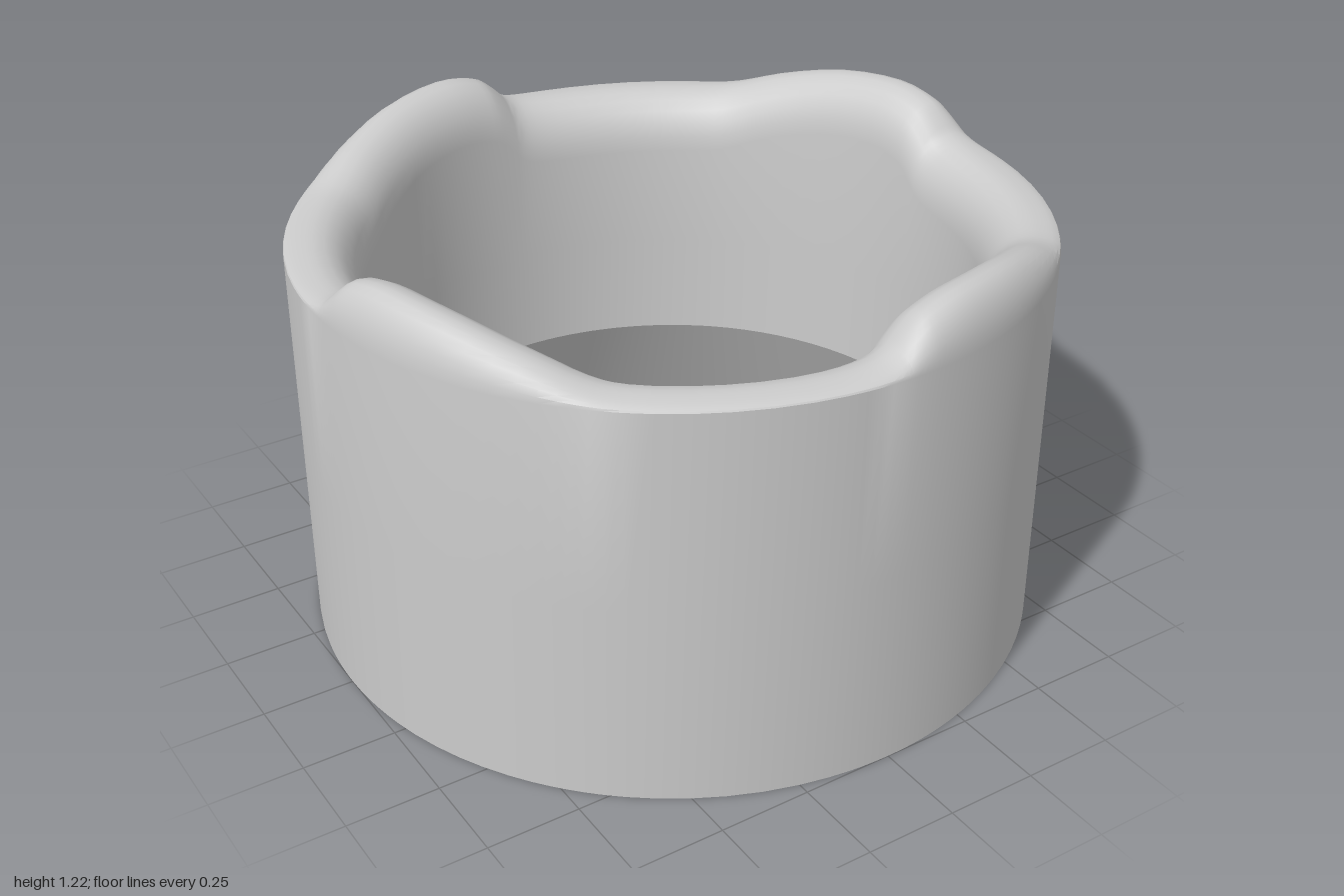
import * as THREE from 'three';
import { toCreasedNormals } from 'three/addons/utils/BufferGeometryUtils.js';

const OUTER = 1, INNER = 0.81, CREST = 0.925;

// Rim height over one quarter turn, as (degrees, height): a steep rise, then a long fall
const wave = new THREE.SplineCurve([
  [0, 1.13], [3, 1.175], [6, 1.202], [13, 1.22], [25, 1.205], [37, 1.16], [45, 1.118],
  [51, 1.103], [65, 1.1], [80, 1.1], [87, 1.11], [90, 1.13],
].map(([a, h]) => new THREE.Vector2(a, h)));

// Closed wall section (radius, height), from the outer foot over the rim and down the inside
function wallSection(h) {
  const section = [[OUTER, 0], [OUTER, 0.55], [OUTER, 1.085]];
  const steps = 6;
  for (let i = 1; i <= steps; i++) {
    const t = (i / steps) * Math.PI / 2;
    section.push([CREST + (OUTER - CREST) * Math.cos(t), 1.085 + (h - 1.085) * Math.sin(t)]);
  }
  const shoulder = h - 0.16;
  for (let i = 1; i <= steps; i++) {
    const t = (i / steps) * Math.PI / 2;
    section.push([CREST - (CREST - INNER) * Math.sin(t), shoulder + (h - shoulder) * Math.cos(t)]);
  }
  section.push([INNER, 0.65], [INNER, 0.35]);
  return section;
}

function wavyRingGeometry() {
  const positions = [], indices = [];
  const quarter = wave.getPoints(33).slice(0, -1);
  const columns = quarter.length * 4;
  let rows = 0;
  for (let q = 0; q < 4; q++) {
    for (const p of quarter) {
      const angle = THREE.MathUtils.degToRad(p.x + q * 90);
      const section = wallSection(p.y);
      rows = section.length;
      for (const [r, y] of section) positions.push(r * Math.sin(angle), y, r * Math.cos(angle));
    }
  }
  // Wrap around both the ring and the section; the last strip is the flared underside
  for (let i = 0; i < columns; i++) {
    const i2 = (i + 1) % columns;
    for (let j = 0; j < rows; j++) {
      const j2 = (j + 1) % rows;
      const a = i * rows + j, b = i2 * rows + j, c = i2 * rows + j2, d = i * rows + j2;
      indices.push(a, b, c, a, c, d);
    }
  }
  const geometry = new THREE.BufferGeometry();
  geometry.setAttribute('position', new THREE.Float32BufferAttribute(positions, 3));
  geometry.setIndex(indices);
  return toCreasedNormals(geometry, 0.44);
}

export function createModel() {
  const group = new THREE.Group();
  group.name = 'wavyRing';
  const wall = new THREE.Mesh(
    wavyRingGeometry(),
    new THREE.MeshStandardMaterial({ color: 0xcccccc }),
  );
  wall.name = 'ringWall';
  group.add(wall);
  return group;
}
